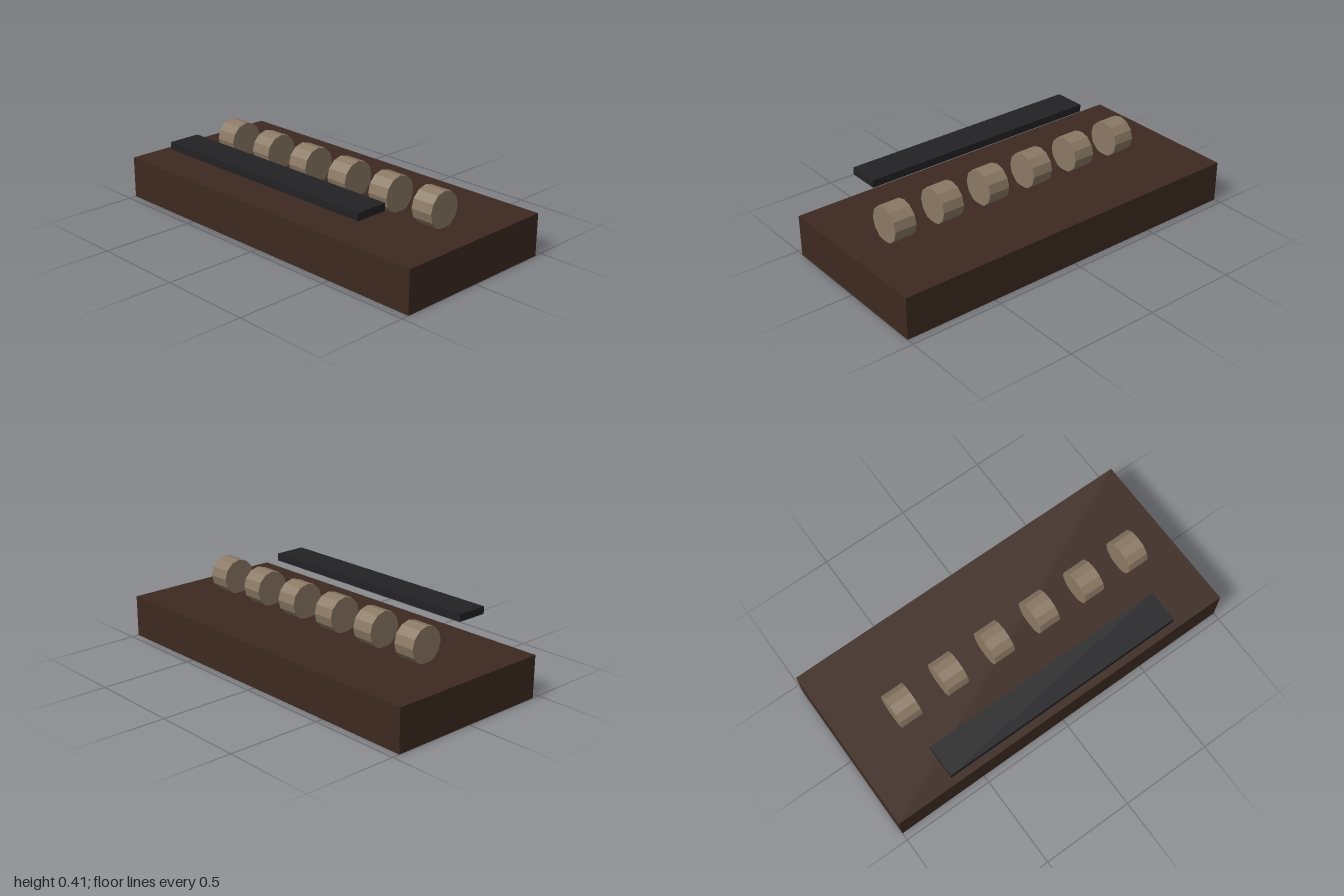
import * as THREE from 'three';

export function createModel() {
  const model = new THREE.Group();
  const add = (name, geometry, color, x, y, z) => {
    const material = new THREE.MeshStandardMaterial({ color });
    material.flatShading = true;
    const mesh = new THREE.Mesh(geometry, material);
    mesh.name = name;
    mesh.position.set(x, y, z);
    model.add(mesh);
  };

  // Solid slab base
  add('base', new THREE.BoxGeometry(2, 0.224, 0.918), 0x3d2920, 0, 0.112, 0);

  // Row of twelve-sided rollers lying along x, resting on the base
  const roller = new THREE.CylinderGeometry(0.095, 0.095, 0.12, 12).rotateZ(Math.PI / 2);
  for (let i = 0; i < 6; i++) {
    add(`roller${i + 1}`, roller, 0x8b7964, -0.66 + i * 0.28, 0.313, 0);
  }

  // Bar floating above the front edge
  add('frontBar', new THREE.BoxGeometry(1.355, 0.04, 0.175), 0x222224, 0, 0.369, 0.361);

  return model;
}
